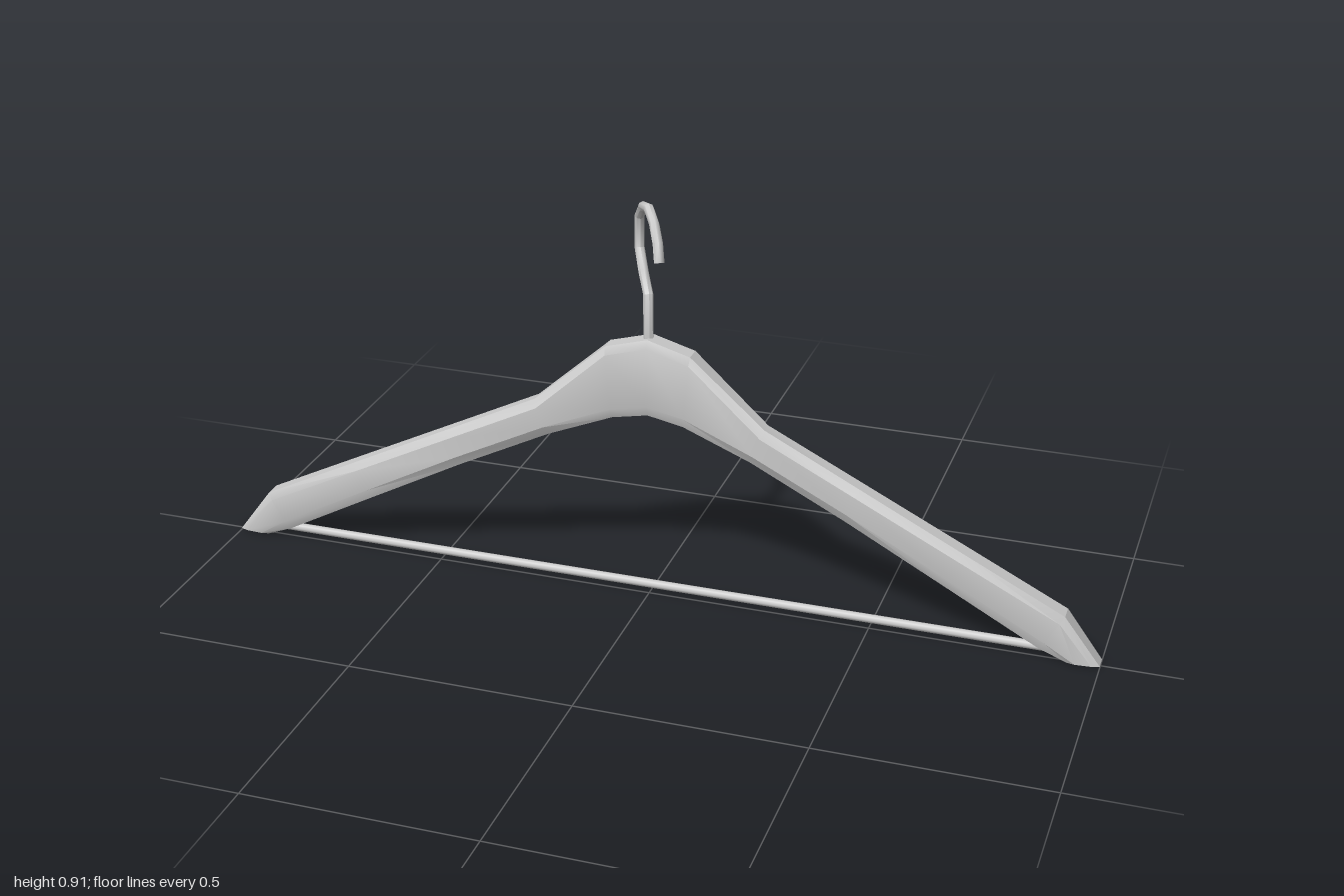
import * as THREE from 'three';
import { toCreasedNormals } from 'three/addons/utils/BufferGeometryUtils.js';

const material = new THREE.MeshStandardMaterial({ color: 0xcccccc });
const Z = -0.006; // middle plane of the wooden body

// Skin a list of equal rings (Vector3 arrays, counter-clockwise along the path) and cap both ends.
function loft(rings, crease) {
  const n = rings[0].length, last = rings.length - 1, index = [];
  for (let i = 0; i < last; i++) {
    for (let k = 0; k < n; k++) {
      const a = i * n + k, b = i * n + (k + 1) % n;
      index.push(a, b, b + n, a, b + n, a + n);
    }
  }
  for (let k = 1; k < n - 1; k++) {
    index.push(0, k + 1, k, last * n, last * n + k, last * n + k + 1);
  }
  const geometry = new THREE.BufferGeometry().setFromPoints(rings.flat());
  geometry.setIndex(index);
  return toCreasedNormals(geometry, crease);
}

function addMesh(group, name, geometry) {
  const mesh = new THREE.Mesh(geometry, material);
  mesh.name = name;
  group.add(mesh);
  return mesh;
}

// Eight-cornered section running from a top point to a bottom point.
function bodyRing([xt, yt, xb, yb, halfTop, halfSide], side) {
  const length = Math.hypot(xt - xb, yt - yb);
  const upper = Math.min(0.018 / length, 0.25), lower = 1 - Math.min(0.022 / length, 0.25);
  const at = (t, z) => new THREE.Vector3(
    side * THREE.MathUtils.lerp(xt, xb, t), THREE.MathUtils.lerp(yt, yb, t), Z + z);
  const front = [[0, halfTop], [upper, halfSide], [lower, halfSide], [1, halfTop]];
  const back = front.slice().reverse().map(([t, z]) => [t, -z]);
  return [...front, ...back].map(([t, z]) => at(t, z));
}

function createBody() {
  // top x, top y, bottom x, bottom y, half depth of top and bottom, half depth of sides
  const stations = [
    [0, 0.615, 0, 0.44, 0.019, 0.027],
    [0.095, 0.588, 0.08, 0.424, 0.019, 0.027],
    [0.26, 0.44, 0.23, 0.36, 0.014, 0.027],
    [0.47, 0.335, 0.44, 0.255, 0.016, 0.027],
    [0.7, 0.22, 0.66, 0.138, 0.018, 0.027],
    [0.92, 0.11, 0.87, 0.025, 0.019, 0.027],
    [1, 0.003, 0.93, 0, 0.016, 0.021],
  ];
  const rings = [
    ...stations.slice(1).reverse().map((s) => bodyRing(s, -1)),
    ...stations.map((s) => bodyRing(s, 1)),
  ];
  return loft(rings, 0.45);
}

function createHook() {
  // centre line in the hook's own plane: depth, height
  const path = [
    [-0.006, 0.59], [-0.008, 0.71], [-0.05, 0.743], [-0.086, 0.783], [-0.086, 0.855],
    [-0.052, 0.889], [-0.003, 0.904], [0.044, 0.889], [0.075, 0.86], [0.088, 0.823],
  ].map(([z, y]) => new THREE.Vector2(z, y));
  const radius = 0.011, sides = 8, skew = 0.58;
  const across = new THREE.Vector3(skew, 0, 1).normalize(); // horizontal direction of the plane
  const up = new THREE.Vector3(0, 1, 0);
  const stretch = Math.hypot(1, skew);
  path.forEach((p) => { p.x *= stretch; });
  const rings = path.map((p, i) => {
    const before = path[Math.max(i - 1, 0)], after = path[Math.min(i + 1, path.length - 1)];
    const into = p.clone().sub(before).normalize(), out = after.clone().sub(p).normalize();
    const d = into.add(out).normalize();
    const along = across.clone().multiplyScalar(d.x).addScaledVector(up, d.y);
    const normal = across.clone().multiplyScalar(-d.y).addScaledVector(up, d.x);
    const binormal = along.clone().cross(normal);
    return Array.from({ length: sides }, (_, k) => {
      const a = (k / sides) * Math.PI * 2;
      return across.clone().multiplyScalar(p.x).addScaledVector(up, p.y)
        .addScaledVector(normal, radius * Math.cos(a))
        .addScaledVector(binormal, radius * Math.sin(a));
    });
  });
  return loft(rings, 0.9);
}

export function createModel() {
  const hanger = new THREE.Group();
  hanger.name = 'coatHanger';

  // Wooden shoulders and metal hook
  addMesh(hanger, 'shoulders', createBody());
  addMesh(hanger, 'hook', createHook());

  // Trouser bar between the arm ends
  const bar = addMesh(hanger, 'trouserBar', new THREE.CylinderGeometry(0.01, 0.01, 1.84, 8));
  bar.rotation.z = Math.PI / 2;
  bar.position.set(0, 0.021, Z);

  return hanger;
}
